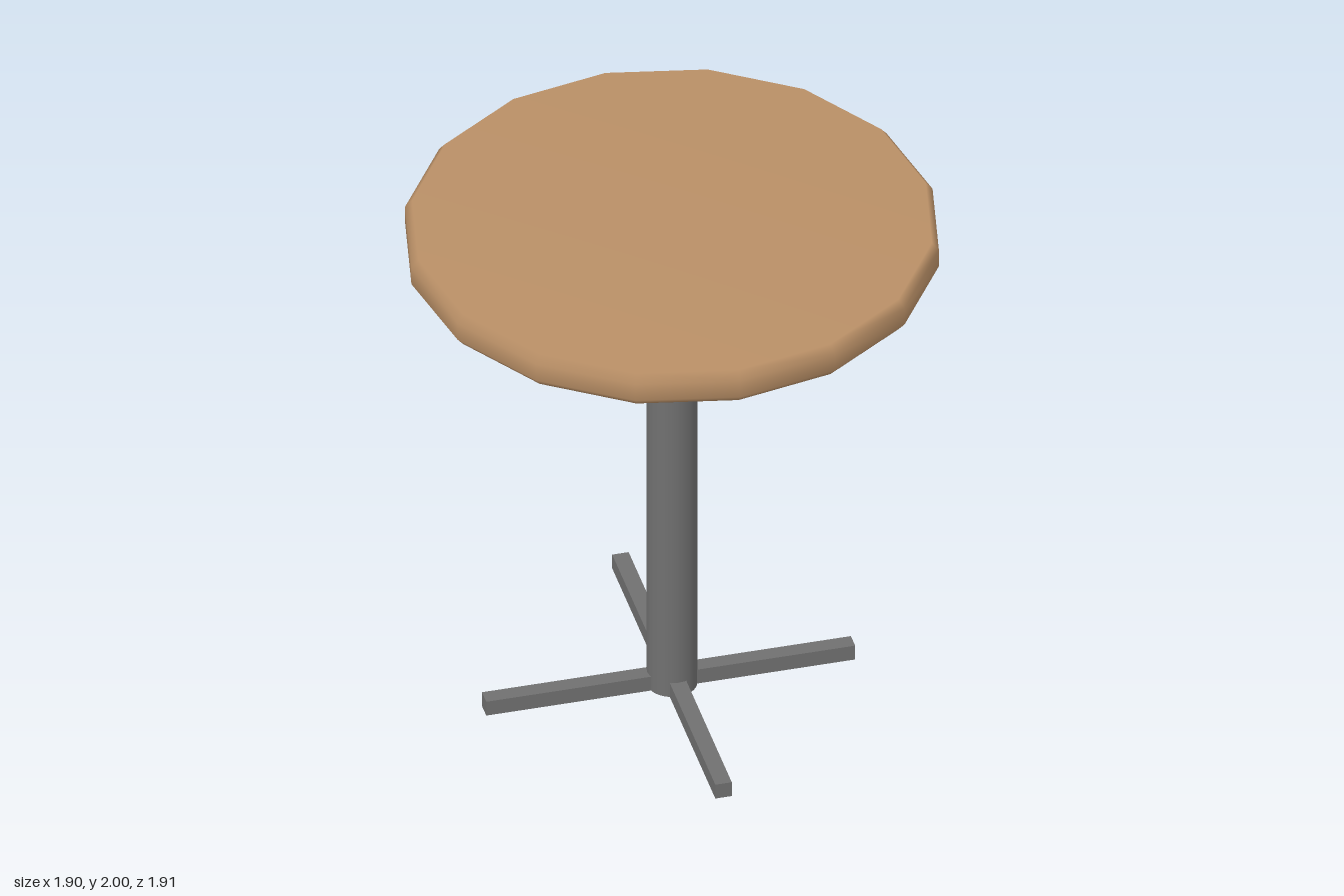
import * as THREE from 'three';

export function createModel() {
  const table = new THREE.Group();
  table.name = 'pedestalTable';
  const wood = new THREE.MeshStandardMaterial({ color: 0xb98f66 });
  const metal = new THREE.MeshStandardMaterial({ color: 0x707070 });

  const add = (name, geometry, material) => {
    const mesh = new THREE.Mesh(geometry, material);
    mesh.name = name;
    table.add(mesh);
    return mesh;
  };

  // Sixteen-sided top with a softened rim
  const profile = [[0, 1.87], [0.925, 1.87], [0.95, 1.9], [0.95, 1.97], [0.925, 2], [0, 2]];
  const top = add('tableTop', new THREE.LatheGeometry(
    profile.map(([r, y]) => new THREE.Vector2(r, y)), 16), wood);
  top.scale.z = 1.005;

  // Central post
  const post = add('post', new THREE.CylinderGeometry(0.09, 0.09, 1.88, 24), metal);
  post.position.y = 0.94;

  // Slanted brace, cut flush with the underside of the top
  const brace = new THREE.Shape([[0.05, 1.447], [0.61, 1.87], [0.52, 1.87], [0.05, 1.515]]
    .map(([x, y]) => new THREE.Vector2(x, y)));
  const braceGeometry = new THREE.ExtrudeGeometry(brace, { depth: 0.08, bevelEnabled: false })
    .translate(0, 0, -0.04);

  // Four feet and four braces around the post
  const reach = [0.66, 0.72, 0.685, 0.72];
  for (let i = 0; i < 4; i++) {
    const angle = i * Math.PI / 2;
    const foot = add('foot', new THREE.BoxGeometry(reach[i], 0.06, 0.06)
      .translate(reach[i] / 2, 0.03, 0), metal);
    foot.rotation.y = angle;
    add('brace', braceGeometry, metal).rotation.y = angle;
  }
  return table;
}
